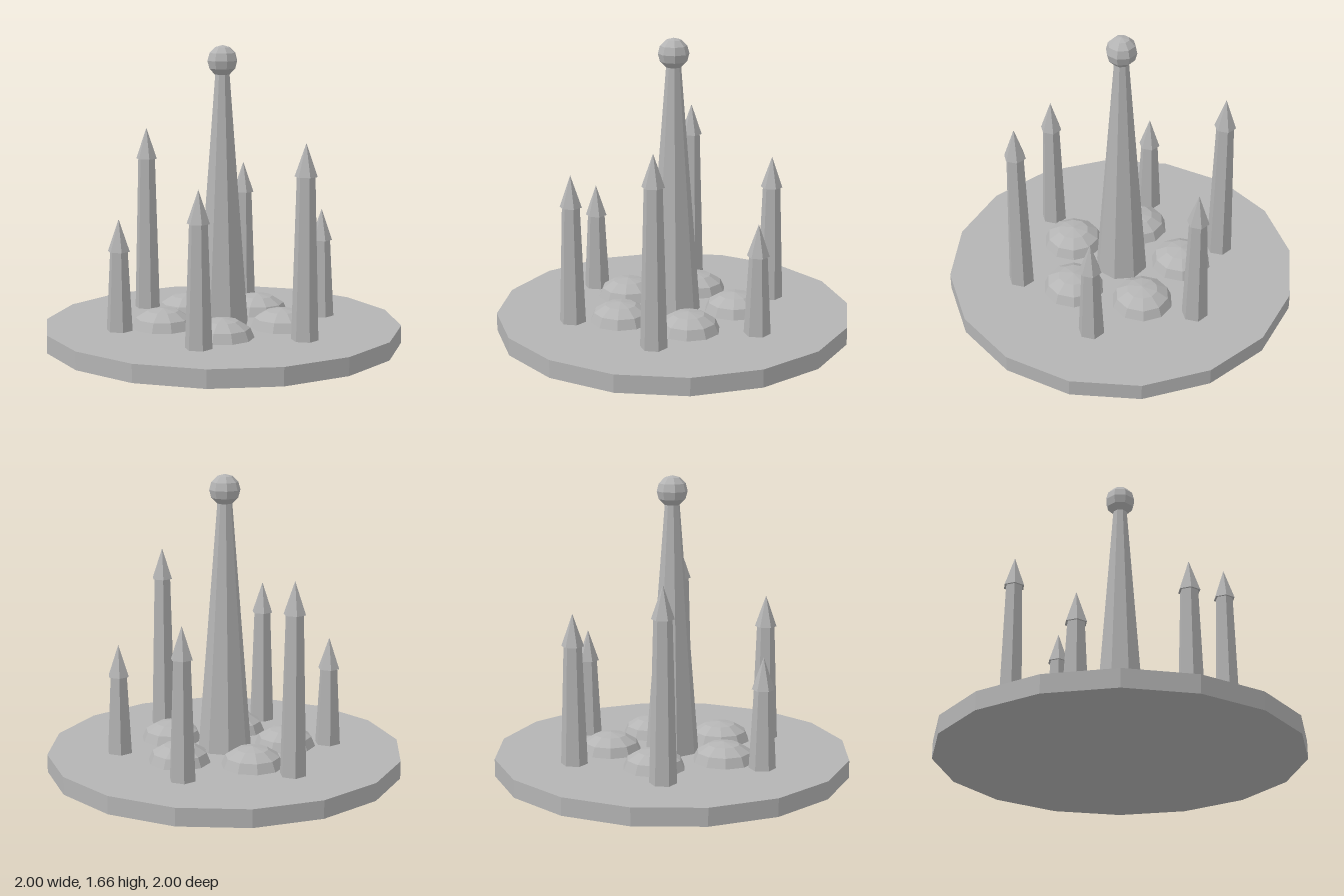
import * as THREE from 'three';

export function createModel() {
  const model = new THREE.Group();
  const stone = new THREE.MeshStandardMaterial({ color: 0xb4b4b4 });
  const BASE_Y = 0.007, FLOOR = 0.107;

  // Faceted mesh helper: un-indexed geometry with one normal per face
  function add(name, geometry, x, y, z, parent = model) {
    const flat = geometry.toNonIndexed();
    flat.computeVertexNormals();
    const mesh = new THREE.Mesh(flat, stone);
    mesh.name = name;
    mesh.position.set(x, y, z);
    parent.add(mesh);
    return mesh;
  }

  // Sixteen-sided base disc
  add('base', new THREE.CylinderGeometry(1, 1, FLOOR - BASE_Y, 16), 0, (BASE_Y + FLOOR) / 2, 0);

  // Central tapered tower with a ball on top
  const towerTop = 1.52;
  add('tower', new THREE.CylinderGeometry(0.04, 0.15, towerTop - FLOOR, 8), 0, (FLOOR + towerTop) / 2, 0);
  add('towerBall', new THREE.SphereGeometry(0.086, 8, 6), 0, 1.575, 0);

  // Five flattened domes, sunk halfway into the base
  for (let i = 0; i < 5; i++) {
    const a = Math.PI + (i * Math.PI * 2) / 5;
    const dome = new THREE.SphereGeometry(0.174, 10, 6);
    dome.rotateY(Math.PI / 2);
    dome.scale(1, 0.107 / 0.174, 1);
    add('dome' + (i + 1), dome, 0.346 * Math.cos(a), FLOOR, 0.346 * Math.sin(a));
  }

  // Ring of six hexagonal spires in three repeating heights
  const heights = [0.44, 0.88, 0.66];
  for (let i = 0; i < 6; i++) {
    const a = (i * Math.PI) / 3;
    const h = heights[i % 3];
    const spire = new THREE.Group();
    spire.name = 'spire' + (i + 1);
    spire.position.set(0.594 * Math.cos(a), FLOOR, 0.594 * Math.sin(a));
    add('spireShaft', new THREE.CylinderGeometry(0.05, 0.074, h, 6), 0, h / 2, 0, spire);
    add('spireCap', new THREE.ConeGeometry(0.062, 0.178, 6), 0, h + 0.089, 0, spire);
    model.add(spire);
  }

  return model;
}
